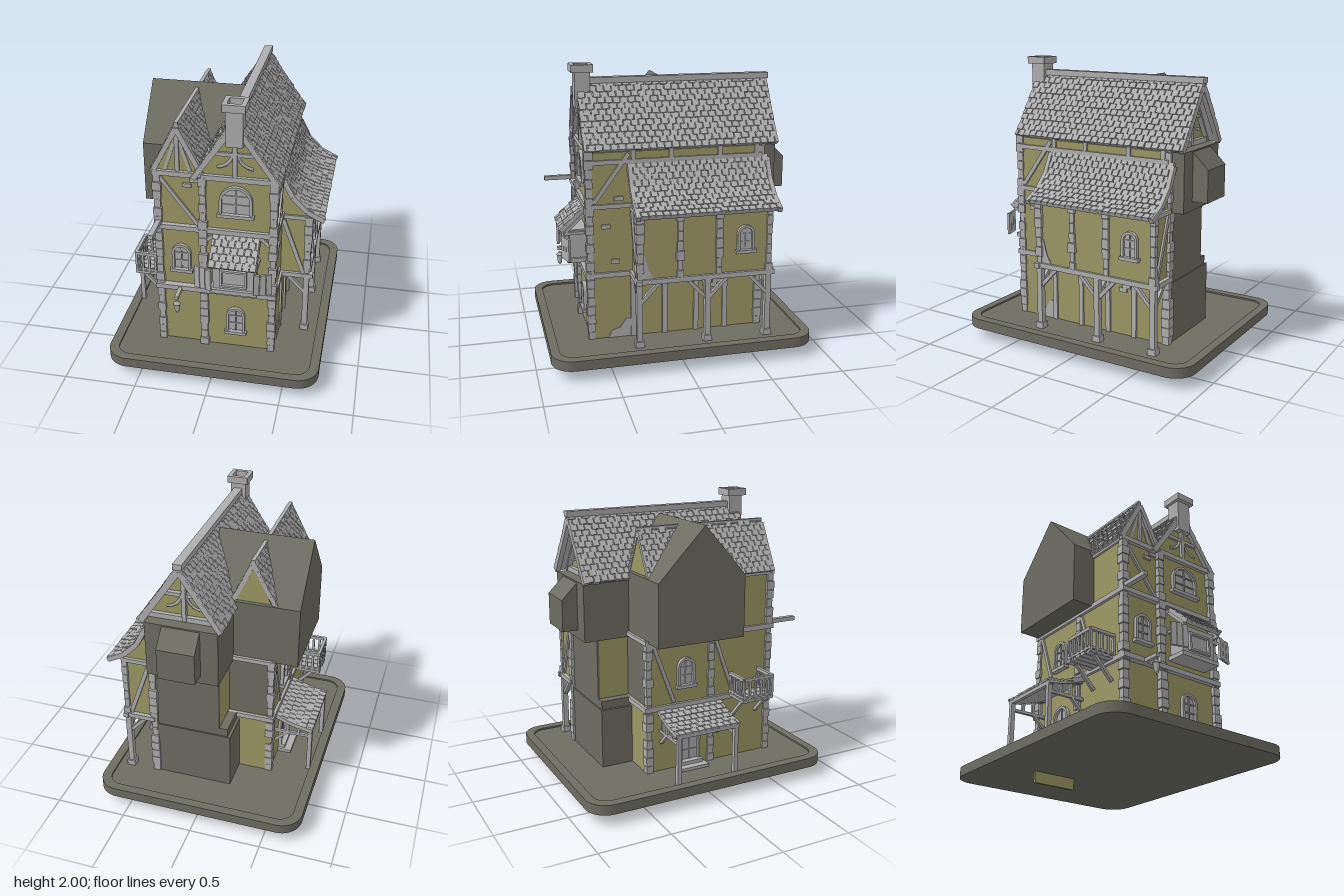
import * as THREE from 'three';
import { mergeGeometries } from 'three/addons/utils/BufferGeometryUtils.js';

export function createModel() {
  const root = new THREE.Group();
  root.name = 'timberHouse';
  const material = (name, color) => {
    const m = new THREE.MeshStandardMaterial({ color });
    m.name = name;
    return m;
  };
  const plaster = material('plaster', 0x9c9864);
  const stone = material('stoneAndTimber', 0xaeaeae);
  const dark = material('darkGround', 0x6e6d62);

  let seed = 7;
  const rnd = () => (seed = (seed * 16807) % 2147483647) / 2147483647;
  const jit = (a) => (rnd() - 0.5) * 2 * a;

  // ---- helpers ----
  const put = (name, mat, geos, parent = root) => {
    const list = [geos].flat(9).map((g) => (g.index ? g.toNonIndexed() : g));
    const mesh = new THREE.Mesh(list.length > 1 ? mergeGeometries(list) : list[0], mat);
    mesh.name = name;
    parent.add(mesh);
    return mesh;
  };
  const box = (x0, x1, y0, y1, z0, z1) =>
    new THREE.BoxGeometry(x1 - x0, y1 - y0, z1 - z0).translate((x0 + x1) / 2, (y0 + y1) / 2, (z0 + z1) / 2);
  const beam = (p, q, w = 0.03, d = w) => {
    const a = new THREE.Vector3(...p), b = new THREE.Vector3(...q), dir = b.clone().sub(a);
    const g = new THREE.BoxGeometry(w, dir.length(), d);
    g.applyQuaternion(new THREE.Quaternion().setFromUnitVectors(new THREE.Vector3(0, 1, 0), dir.normalize()));
    return g.translate(...a.add(b).multiplyScalar(0.5).toArray());
  };
  // upright post made of uneven stacked blocks
  const quoin = (x, z, y0, y1, w = 0.05) => {
    const n = Math.round((y1 - y0) / 0.065), h = (y1 - y0) / n;
    return Array.from({ length: n }, (_, i) => {
      const a = w / 2 + jit(0.006);
      return box(x - a, x + a, y0 + i * h, y0 + (i + 1) * h - 0.004, z - a, z + a);
    });
  };
  const shapeOf = (pts) => new THREE.Shape(pts.map((p) => new THREE.Vector2(...p)));
  const prism = (pts, z0, z1) =>
    new THREE.ExtrudeGeometry(shapeOf(pts), { depth: z1 - z0, bevelEnabled: false }).translate(0, 0, z0);
  // shingles laid along a profile from ridge to eave, running in z
  const shingles = (pts, z0, z1, rows, cols) => {
    const curve = new THREE.SplineCurve(pts.map((p) => new THREE.Vector2(...p)));
    const out = [], w = (z1 - z0) / cols;
    for (let i = 0; i < rows; i++) {
      const a = curve.getPointAt(i / rows), b = curve.getPointAt((i + 1) / rows);
      const d = b.clone().sub(a), len = d.length(), ang = Math.atan2(d.y, d.x), s = Math.sign(d.x);
      const nx = (-d.y / len) * s, ny = (d.x / len) * s, mx = (a.x + b.x) / 2, my = (a.y + b.y) / 2;
      out.push(new THREE.BoxGeometry(len * 1.05, 0.02, z1 - z0 - 0.01).rotateZ(ang)
        .translate(mx - nx * 0.01, my - ny * 0.01, (z0 + z1) / 2));
      for (let j = 0; j <= cols; j++) {
        const e0 = Math.max(z0, z0 + (j - (i % 2) / 2) * w), e1 = Math.min(z1, z0 + (j + 1 - (i % 2) / 2) * w);
        if (e1 - e0 < 0.01) continue;
        const t = 0.004 + jit(0.003);
        out.push(new THREE.BoxGeometry(len * (1.12 + jit(0.08)), 0.014, e1 - e0 - 0.006)
          .rotateZ(ang + s * 0.1).translate(mx + nx * t, my + ny * t, (e0 + e1) / 2));
      }
    }
    return out;
  };
  const roundedRect = (w, h, r) => {
    const s = new THREE.Shape();
    [[w - r, r - h, -1], [w - r, h - r, 0], [r - w, h - r, 1], [r - w, r - h, 2]]
      .forEach(([x, y, k]) => s.absarc(x, y, r, (k * Math.PI) / 2, ((k + 1) * Math.PI) / 2));
    return s;
  };
  const arch = (w, h) => {
    const s = new THREE.Shape(), r = w / 2;
    s.moveTo(-r, 0).lineTo(r, 0).lineTo(r, h - r).absarc(0, h - r, r, 0, Math.PI);
    return s;
  };
  // arched window facing +z, sill centre at the origin
  const archWindow = (name, w, h, pos, turn = 0) => {
    const g = new THREE.Group();
    g.name = name;
    const frame = arch(w, h);
    const inner = arch(w - 0.035, h - 0.0175);
    frame.holes.push(inner);
    put('windowFrame', stone, new THREE.ExtrudeGeometry(frame, { depth: 0.025, bevelEnabled: false, curveSegments: 8 }), g);
    put('windowPane', stone, new THREE.ExtrudeGeometry(inner, { depth: 0.006, bevelEnabled: false, curveSegments: 8 }), g);
    put('windowBars', stone, [box(-0.004, 0.004, 0, h - 0.01, 0, 0.014),
      ...[0.35, 0.65].map((k) => box(-w / 2 + 0.01, w / 2 - 0.01, h * k - 0.004, h * k + 0.004, 0, 0.013)),
      box(-w / 2 - 0.012, w / 2 + 0.012, -0.015, 0.008, 0, 0.035)], g);
    g.position.set(...pos);
    g.rotation.y = turn;
    root.add(g);
  };

  // ---- ground slab with raised rim ----
  const slab = (shape, depth) => new THREE.ExtrudeGeometry(shape, { depth, bevelEnabled: false, curveSegments: 8 })
    .rotateX(-Math.PI / 2).translate(0, 0.08, -0.005);
  const rim = roundedRect(0.74, 0.91, 0.15);
  rim.holes.push(roundedRect(0.675, 0.85, 0.1));
  put('groundRim', dark, slab(rim, 0.07));
  put('groundFloor', dark, slab(roundedRect(0.676, 0.851, 0.1), 0.058));

  // ---- plaster walls ----
  put('mainWalls', plaster, prism([[-0.09, 0.13], [0.4, 0.13], [0.4, 1.45], [0.13, 1.83], [-0.09, 1.5]], -0.59, 0.6));
  put('wingWalls', plaster, prism([[-0.4, 0.13], [-0.09, 0.13], [-0.09, 1.47], [-0.25, 1.77], [-0.4, 1.47]], -0.36, 0.59));
  put('wingBackWall', plaster, box(-0.4, -0.08, 0, 0.62, -0.38, -0.36));
  put('sideRoomWalls', plaster, prism([[0.39, 0.6], [0.59, 0.6], [0.59, 1.08], [0.5, 1.16], [0.39, 1.32]], -0.6, 0.31));

  // ---- plain dark blocks at the rear and left ----
  put('leftDormerBlock', dark, prism([[-0.28, 1.08], [0.37, 1.08], [0.37, 1.51], [0.03, 1.86], [-0.28, 1.51]], -0.57, 0.08)
    .rotateY(Math.PI / 2));
  put('rearUpperBlock', dark, box(-0.12, 0.38, 1.05, 1.45, -0.7, -0.37));
  put('rearBay', dark, prism([[0.69, 1.11], [0.81, 1.11], [0.81, 1.33], [0.69, 1.45]], 0, 0.26).rotateY(Math.PI / 2));
  put('rearLowerBlock', dark, box(-0.17, 0.37, 0.13, 0.56, -0.61, -0.36));
  put('rearLowerBlockTop', dark, box(-0.15, 0.36, 0.56, 0.62, -0.6, -0.36));
  put('rearMiddlePanels', dark, [box(-0.09, 0.38, 0.62, 1.06, -0.6, -0.585), box(-0.4, -0.09, 0.62, 1.08, -0.37, -0.355)]);

  // ---- roofs ----
  put('mainRoof', stone, [
    shingles([[0.13, 1.885], [0.27, 1.675], [0.415, 1.465]], -0.71, 0.63, 12, 26),
    shingles([[0.13, 1.885], [-0.01, 1.675], [-0.14, 1.465]], -0.71, 0.63, 12, 26)]);
  put('ridgeCap', stone, box(0.1, 0.16, 1.87, 1.91, -0.715, 0.635));
  put('wingRoof', stone, [
    shingles([[-0.25, 1.815], [-0.34, 1.64], [-0.425, 1.48]], -0.37, 0.6, 10, 19),
    shingles([[-0.25, 1.815], [-0.17, 1.64], [-0.09, 1.48]], -0.37, 0.6, 10, 19)]);
  put('wingRidge', stone, beam([-0.25, 1.815, -0.37], [-0.25, 1.815, 0.6], 0.025));
  put('sideRoof', stone, [
    shingles([[0.395, 1.38], [0.47, 1.235], [0.57, 1.135], [0.685, 1.075]], -0.64, 0.33, 10, 20),
    [0.325, -0.635].map((z) => [[[0.4, 1.36], [0.47, 1.225]], [[0.47, 1.225], [0.57, 1.125]], [[0.57, 1.125], [0.69, 1.065]]]
      .map(([p, q]) => beam([...p, z], [...q, z], 0.035, 0.03)))]);
  put('porchRoof', stone, shingles([[-0.4, 0.585], [-0.54, 0.53], [-0.68, 0.5]], -0.3, 0.2, 6, 10));

  // ---- chimney ----
  const flue = roundedRect(0.075, 0.075, 0.004);
  flue.holes.push(roundedRect(0.045, 0.045, 0.004));
  put('chimneyCap', stone, new THREE.ExtrudeGeometry(flue, { depth: 0.05, bevelEnabled: false }).rotateX(-Math.PI / 2).translate(0.13, 1.95, 0.595));
  put('chimneyShaft', stone, box(0.075, 0.185, 1.71, 1.955, 0.54, 0.645));

  // ---- uneven corner posts ----
  put('cornerPosts', stone, [
    [-0.39, 0.59], [-0.085, 0.6], [0.385, 0.6]].map(([x, z]) => quoin(x, z, 0.13, 1.47))
    .concat(quoin(0.385, -0.595, 0.13, 1.45), quoin(-0.39, -0.36, 0.13, 1.08), quoin(-0.39, 0.12, 0.13, 1.08, 0.045)));
  put('sideRoomPosts', stone, [0.3, 0.025, -0.245, -0.6].map((z) => quoin(0.585, z, 0.6, 1.08, 0.045)));
  put('groundWallPosts', stone, [0.31, 0.085, -0.14, -0.35].map((z) => box(0.395, 0.415, 0.13, 0.6, z - 0.017, z + 0.017)));

  // ---- open supports under the side room ----
  put('supportPosts', stone, [0.305, -0.17, -0.6].map((z) => [
    box(0.565, 0.605, 0.13, 0.6, z - 0.02, z + 0.02), box(0.555, 0.615, 0.13, 0.18, z - 0.03, z + 0.03),
    [-1, 1].filter((s) => Math.abs(z + s * 0.13) < 0.6 && z + s * 0.13 < 0.35)
      .map((s) => beam([0.585, 0.44, z], [0.585, 0.59, z + s * 0.14], 0.025)),
    beam([0.58, 0.45, z], [0.45, 0.59, z], 0.025)]));
  put('sideRoomFloor', stone, box(0.39, 0.6, 0.59, 0.61, -0.6, 0.32));

  // ---- horizontal timbers ----
  put('floorBeams', stone, [
    box(-0.42, 0.41, 0.585, 0.62, 0.59, 0.635), box(0.4, 0.63, 0.585, 0.62, 0.29, 0.33),
    box(0.39, 0.415, 0.585, 0.62, 0.3, 0.635), box(0.575, 0.61, 0.585, 0.62, -0.64, 0.33), box(0.38, 0.61, 0.585, 0.62, -0.63, -0.6),
    box(-0.42, 0.41, 1.06, 1.095, 0.59, 0.625), box(0.39, 0.415, 1.07, 1.1, 0.3, 0.62),
    box(0.4, 0.6, 1.05, 1.08, 0.3, 0.322), box(0.58, 0.605, 1.04, 1.075, -0.62, 0.32), box(0.4, 0.6, 1.05, 1.08, -0.622, -0.6),
    box(-0.42, -0.08, 1.455, 1.49, 0.585, 0.615), box(-0.09, 0.41, 1.455, 1.49, 0.59, 0.625),
    box(0.39, 0.415, 1.37, 1.4, -0.6, 0.6), box(-0.1, 0.41, 1.45, 1.485, -0.62, -0.59),
    ...[0.585, 1.06].map((y) => box(-0.42, -0.39, y, y + 0.035, -0.38, 0.6)), box(-0.42, -0.08, 0.585, 0.62, -0.395, -0.37),
    box(-0.42, -0.08, 1.06, 1.09, -0.39, -0.37), box(-0.415, -0.39, 1.455, 1.485, -0.36, 0.6)]);

  // ---- gable timbers ----
  const gable = (cx, apex, half, eave, z, braces) => [-1, 1].map((s) => [
    beam([cx, apex, z], [cx + s * half, eave, z], 0.035, 0.035),
    braces ? new THREE.TorusGeometry(0.11, 0.011, 4, 8, 1.5).rotateZ(s > 0 ? Math.PI : -1.5).translate(cx + s * 0.125, 1.66, z - 0.005)
      : beam([cx, apex - 0.05, z - 0.01], [cx + s * 0.09, eave, z - 0.01], 0.022)])
    .concat([[beam([cx, eave, z - 0.005], [cx, apex, z - 0.005], 0.028)]]);
  put('mainFrontGable', stone, [gable(0.13, 1.85, 0.275, 1.455, 0.612, true), box(0.0, 0.26, 1.63, 1.655, 0.59, 0.615)]);
  put('mainRearGable', stone, [gable(0.13, 1.85, 0.27, 1.455, -0.61, true), gable(0.13, 1.85, 0.27, 1.455, -0.69, false).map((a) => a[0]).slice(0, 2),
    box(0.0, 0.26, 1.63, 1.655, -0.62, -0.59)]);
  put('wingGable', stone, gable(-0.25, 1.79, 0.165, 1.475, 0.595, false));

  // ---- diagonal braces ----
  put('wallBraces', stone, [
    beam([-0.38, 1.45, 0.592], [-0.11, 1.09, 0.592], 0.025),
    beam([0.41, 1.04, 0.31], [0.56, 0.62, 0.31], 0.028), beam([0.41, 1.04, -0.6], [0.56, 0.62, -0.6], 0.028),
    beam([0.4, 1.11, 0.57], [0.4, 1.44, 0.33], 0.028), beam([-0.4, 1.06, -0.33], [-0.4, 0.63, -0.17], 0.025),
    beam([-0.4, 1.05, 0.15], [-0.4, 0.63, 0.3], 0.025),
    ...[[-0.06, 0.02], [0.36, 0.28]].map(([a, b]) => beam([a, 1.0, 0.602], [b, 1.07, 0.602], 0.025)),
    ...[0.3, 0.04, -0.3, -0.56].map((z) => box(0.39, 0.412, 1.36, 1.46, z - 0.015, z + 0.015))]);

  // ---- exposed masonry ----
  put('looseBricks', stone, [
    [-0.22, 1.38], [-0.17, 1.42]].map(([x, y]) => box(x, x + 0.06, y, y + 0.025, 0.58, 0.605))
    .concat([[0.46, 0.93], [0.4, 0.68], [0.37, 1.12], [-0.32, 0.48], [-0.29, 0.45]]
      .map(([z, y]) => box(0.39, 0.412, y, y + 0.03, z, z + 0.06))));
  put('barePatches', stone, [
    prism([[-0.49, 0.13], [-0.31, 0.13], [-0.31, 0.27], [-0.36, 0.27], [-0.4, 0.21], [-0.46, 0.19]], 0.4, 0.406).rotateY(Math.PI / 2),
    prism([[-0.29, 0.61], [-0.2, 0.61], [-0.24, 0.68], [-0.27, 0.79], [-0.29, 0.8]], 0.59, 0.596).rotateY(Math.PI / 2)]);

  // ---- windows and door ----
  archWindow('atticWindow', 0.22, 0.21, [0.135, 1.21, 0.6]);
  archWindow('wingFrontWindow', 0.13, 0.2, [-0.24, 0.74, 0.59]);
  archWindow('groundFrontWindow', 0.13, 0.2, [0.135, 0.27, 0.6]);
  archWindow('sideRoomWindow', 0.12, 0.18, [0.59, 0.77, -0.43], Math.PI / 2);
  archWindow('wingLeftWindow', 0.13, 0.2, [-0.4, 0.74, -0.08], -Math.PI / 2);
  archWindow('porchDoor', 0.16, 0.3, [-0.4, 0.15, -0.05], -Math.PI / 2);

  // ---- front bay window with awning and shutters ----
  put('bayWindow', stone, [box(0, 0.28, 0.69, 0.9, 0.59, 0.72), box(-0.02, 0.3, 0.67, 0.7, 0.59, 0.74), box(0.05, 0.23, 0.725, 0.74, 0.71, 0.74),
    box(0.05, 0.23, 0.84, 0.855, 0.71, 0.74), ...[0.05, 0.215].map((x) => box(x, x + 0.015, 0.725, 0.855, 0.71, 0.74))]);
  put('shutters', stone, [-1, 1].map((s) => [0, 1, 2].map((i) =>
    box(-0.019, 0.019, 0.71, 0.87 + jit(0.008), -0.008, 0.008).rotateY(s * 0.3).translate(0.14 + s * (0.16 + i * 0.04), 0, 0.765 - i * 0.012))));
  const awning = put('awningRoof', stone, shingles([[0.6, 1.06], [0.69, 0.985], [0.78, 0.9]], -0.3, 0.02, 5, 7));
  awning.rotation.y = -Math.PI / 2;
  put('awningBrackets', stone, [-0.01, 0.29].map((x) => [beam([x, 1.03, 0.6], [x, 0.89, 0.75], 0.02), beam([x, 0.88, 0.6], [x, 0.88, 0.76], 0.02)]));

  // ---- projecting beam and lantern ----
  put('hoistBeam', stone, box(-0.405, -0.37, 1.09, 1.12, 0.58, 0.815));
  put('lanternArm', stone, box(-0.26, -0.235, 0.585, 0.61, 0.6, 0.75));
  put('lantern', stone, [new THREE.CylinderGeometry(0.022, 0.015, 0.06, 6).translate(-0.248, 0.515, 0.735),
    new THREE.ConeGeometry(0.028, 0.03, 6).translate(-0.248, 0.56, 0.735), new THREE.ConeGeometry(0.015, 0.02, 6).rotateX(Math.PI).translate(-0.248, 0.475, 0.735)]);

  // ---- balcony ----
  put('balconyFloor', stone, Array.from({ length: 5 }, (_, i) => box(-0.6 + jit(0.006), -0.4, 0.605, 0.625, 0.27 + i * 0.05, 0.315 + i * 0.05)));
  const rail = (x0, z0, x1, z1, n) => [beam([x0, 0.77, z0], [x1, 0.77, z1], 0.022), beam([x0, 0.64, z0], [x1, 0.64, z1], 0.015),
    Array.from({ length: n + 1 }, (_, i) => {
      const x = x0 + ((x1 - x0) * i) / n, z = z0 + ((z1 - z0) * i) / n;
      return beam([x, 0.61, z], [x, 0.78, z], 0.016);
    })];
  put('balconyRail', stone, [rail(-0.59, 0.28, -0.59, 0.51, 5), rail(-0.59, 0.28, -0.41, 0.28, 4), rail(-0.59, 0.51, -0.41, 0.51, 4)]);
  put('balconyBraces', stone, [0.3, 0.49].map((z) => beam([-0.41, 0.46, z], [-0.55, 0.61, z], 0.022)));

  // ---- porch frame and steps ----
  put('porchFrame', stone, [-0.27, 0.17].map((z) => [
    box(-0.68, -0.65, 0.13, 0.5, z - 0.015, z + 0.015), box(-0.66, -0.4, 0.425, 0.445, z - 0.01, z + 0.01),
    beam([-0.67, 0.49, z], [-0.41, 0.56, z], 0.025), beam([-0.41, 0.35, z], [-0.49, 0.43, z], 0.02),
    [-0.58, -0.5, -0.44].map((x) => box(x - 0.01, x + 0.01, 0.44, 0.53, z - 0.01, z + 0.01))])
    .concat([[box(-0.68, -0.655, 0.475, 0.5, -0.29, 0.19)]]));
  put('porchSteps', stone, [box(-0.5, -0.39, 0.13, 0.16, -0.15, 0.06), box(-0.45, -0.39, 0.16, 0.185, -0.13, 0.04)]);
  return root;
}
